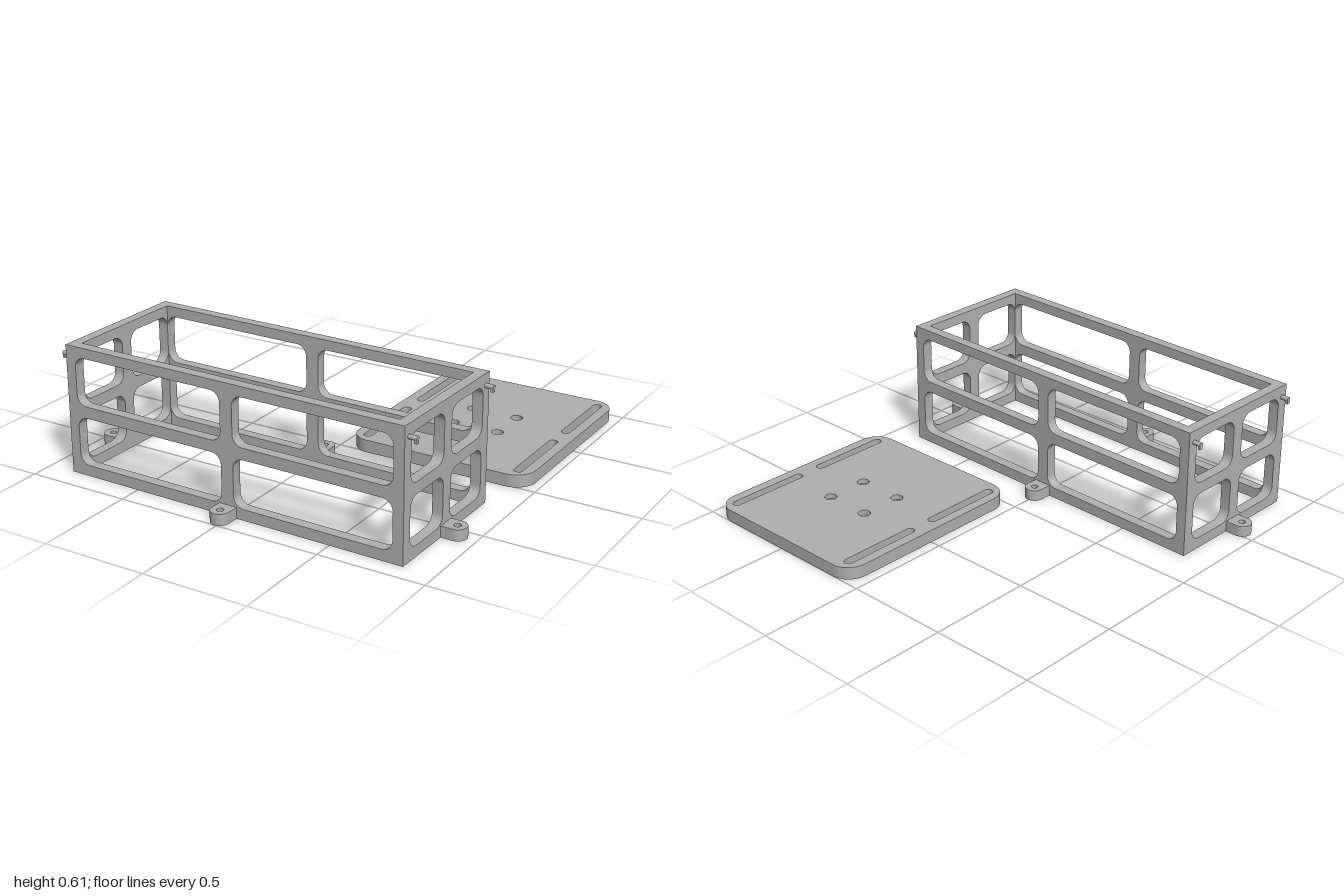
import * as THREE from 'three';
import { toCreasedNormals } from 'three/addons/utils/BufferGeometryUtils.js';

const LENGTH = 1.72, WIDTH = 0.705, HEIGHT = 0.61, WALL = 0.05;

// Traces a rounded rectangle onto a Shape or Path.
function roundedRect(path, x0, y0, x1, y1, r) {
  path.moveTo(x0 + r, y0);
  path.lineTo(x1 - r, y0);
  path.absarc(x1 - r, y0 + r, r, -Math.PI / 2, 0, false);
  path.lineTo(x1, y1 - r);
  path.absarc(x1 - r, y1 - r, r, 0, Math.PI / 2, false);
  path.lineTo(x0 + r, y1);
  path.absarc(x0 + r, y1 - r, r, Math.PI / 2, Math.PI, false);
  path.lineTo(x0, y0 + r);
  path.absarc(x0 + r, y0 + r, r, Math.PI, Math.PI * 1.5, false);
  return path;
}

function circleHole(x, y, r) {
  return new THREE.Path().absarc(x, y, r, 0, Math.PI * 2, true);
}

function extrude(shape, depth) {
  const geo = new THREE.ExtrudeGeometry(shape, { depth, bevelEnabled: false, curveSegments: 12 });
  return toCreasedNormals(geo, 0.6);
}

// Flat shape lying on the ground: shape y becomes -z, thickness goes up.
function slab(shape, depth) {
  return extrude(shape, depth).rotateX(-Math.PI / 2);
}

// Upright wall with four rounded windows; its outer face is at z = 0.
function wallGeometry(length, windowEnd) {
  const h = length / 2;
  const shape = new THREE.Shape([
    new THREE.Vector2(-h, 0), new THREE.Vector2(h, 0),
    new THREE.Vector2(h, HEIGHT), new THREE.Vector2(-h, HEIGHT),
  ]);
  for (const [y0, y1] of [[0.052, 0.28], [0.335, 0.562]]) {
    for (const [x0, x1] of [[-windowEnd, -0.031], [0.031, windowEnd]]) {
      shape.holes.push(roundedRect(new THREE.Path(), x0, y0, x1, y1, 0.05));
    }
  }
  return extrude(shape, WALL).translate(0, 0, -WALL);
}

// Screw tab pointing along +z from z = 0.
function tabGeometry() {
  const r = 0.045, reach = 0.055;
  const shape = new THREE.Shape();
  shape.moveTo(r, 0);
  shape.lineTo(-r, 0);
  shape.lineTo(-r, -reach);
  shape.absarc(0, -reach, r, Math.PI, Math.PI * 2, false);
  shape.lineTo(r, 0);
  shape.holes.push(circleHole(0, -reach, 0.016));
  return slab(shape, 0.053);
}

export function createModel() {
  const model = new THREE.Group();
  model.name = 'cageAndPlate';
  const grey = new THREE.MeshStandardMaterial({ color: 0xb0b0b0 });
  grey.name = 'grey';

  const add = (parent, name, geo) => {
    const mesh = new THREE.Mesh(geo, grey);
    mesh.name = name;
    parent.add(mesh);
    return mesh;
  };

  // Open cage, turned very slightly on the ground
  const cage = new THREE.Group();
  cage.name = 'cage';
  cage.position.set(-0.004, 0, 0.546);
  cage.rotation.y = -0.0148;
  model.add(cage);

  const longWall = wallGeometry(LENGTH, 0.81);
  const endWall = wallGeometry(WIDTH - 2 * WALL, 0.3);
  const tab = tabGeometry();
  ['front', 'left', 'back', 'right'].forEach((side, i) => {
    const group = new THREE.Group();
    group.name = side + 'Side';
    group.rotation.y = i * Math.PI / 2;
    const out = (i % 2 ? LENGTH : WIDTH) / 2;
    add(group, side + 'Wall', i % 2 ? endWall : longWall).position.z = out;
    add(group, side + 'ScrewTab', tab).position.z = out;
    cage.add(group);
  });

  // Small hooks near the top of each end
  for (const sx of [-1, 1]) {
    for (const sz of [-1, 1]) {
      const hook = new THREE.Group();
      hook.name = (sz > 0 ? 'front' : 'back') + (sx > 0 ? 'Left' : 'Right') + 'Hook';
      hook.position.set(sx * LENGTH / 2, 0.555, sz * 0.32);
      const arm = new THREE.CylinderGeometry(0.011, 0.011, 0.04, 16).rotateZ(Math.PI / 2);
      add(hook, 'hookArm', arm).position.x = sx * 0.02;
      add(hook, 'hookTip', new THREE.BoxGeometry(0.012, 0.022, 0.018)).position.set(sx * 0.034, -0.011, 0);
      cage.add(hook);
    }
  }

  // Mounting plate with four long slots and four stepped screw holes
  const plateGroup = new THREE.Group();
  plateGroup.name = 'mountingPlate';
  plateGroup.position.set(0.505, 0, -0.495);
  model.add(plateGroup);

  const plate = roundedRect(new THREE.Shape(), -0.455, -0.505, 0.455, 0.505, 0.1);
  for (const x of [-0.386, 0.386]) {
    for (const [y0, y1] of [[-0.46, -0.05], [0.05, 0.46]]) {
      plate.holes.push(roundedRect(new THREE.Path(), x - 0.021, y0, x + 0.021, y1, 0.0205));
    }
  }
  const holeSpots = [];
  for (const x of [-0.116, 0.116]) for (const y of [-0.102, 0.102]) holeSpots.push([x, y]);
  for (const [x, y] of holeSpots) plate.holes.push(circleHole(x, y, 0.029));
  add(plateGroup, 'plate', slab(plate, 0.06));

  // Narrower lower part of each screw hole
  const ring = new THREE.Shape().absarc(0, 0, 0.029, 0, Math.PI * 2, false);
  ring.holes.push(circleHole(0, 0, 0.016));
  const ringGeo = slab(ring, 0.035);
  for (const [x, y] of holeSpots) add(plateGroup, 'screwHoleStep', ringGeo).position.set(x, 0, -y);

  return model;
}
